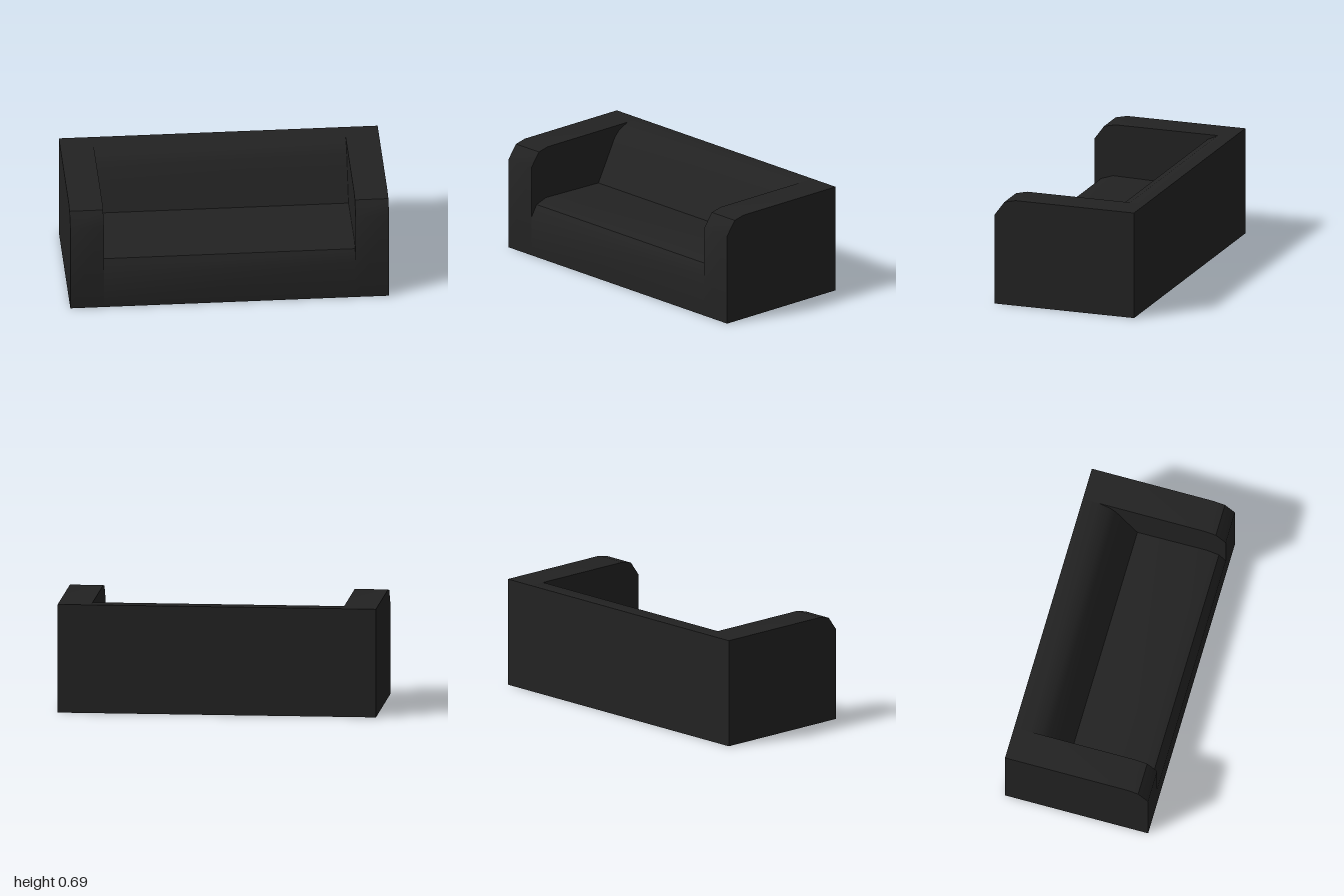
import * as THREE from 'three';
import { toCreasedNormals } from 'three/addons/utils/BufferGeometryUtils.js';

const fabric = new THREE.MeshStandardMaterial({ color: 0x222222 });

// Extrudes a side profile of [z, y] points along x, centred on x = 0
function profilePart(name, points, width) {
  const shape = new THREE.Shape(points.map(([z, y]) => new THREE.Vector2(z, y)));
  const geometry = new THREE.ExtrudeGeometry(shape, { depth: width, bevelEnabled: false });
  geometry.translate(0, 0, -width / 2).rotateY(-Math.PI / 2);
  const mesh = new THREE.Mesh(toCreasedNormals(geometry, 0.65), fabric);
  mesh.name = name;
  return mesh;
}

export function createModel() {
  const sofa = new THREE.Group();
  sofa.name = 'sofa';
  const depth = 0.465, height = 0.685, innerX = 0.79;

  // Arms: slabs with a chamfered upper front edge
  const armProfile = [
    [-depth, 0], [depth, 0], [depth, 0.58], [0.4, 0.668], [0.325, height], [-depth, height],
  ];
  for (const side of [-1, 1]) {
    const arm = profilePart(side > 0 ? 'leftArm' : 'rightArm', armProfile, 1 - innerX);
    arm.position.x = side * (1 + innerX) / 2;
    sofa.add(arm);
  }

  // Seat cushion with a rounded front, running into the sloped backrest
  sofa.add(profilePart('seatAndBackrest', [
    [-depth, 0], [depth, 0], [depth, 0.25], [0.42, 0.325], [0.34, 0.352], [-0.11, 0.342],
    [-0.185, 0.484], [-0.25, 0.61], [-0.29, 0.652], [-0.36, height], [-depth, height],
  ], innerX * 2));

  return sofa;
}
